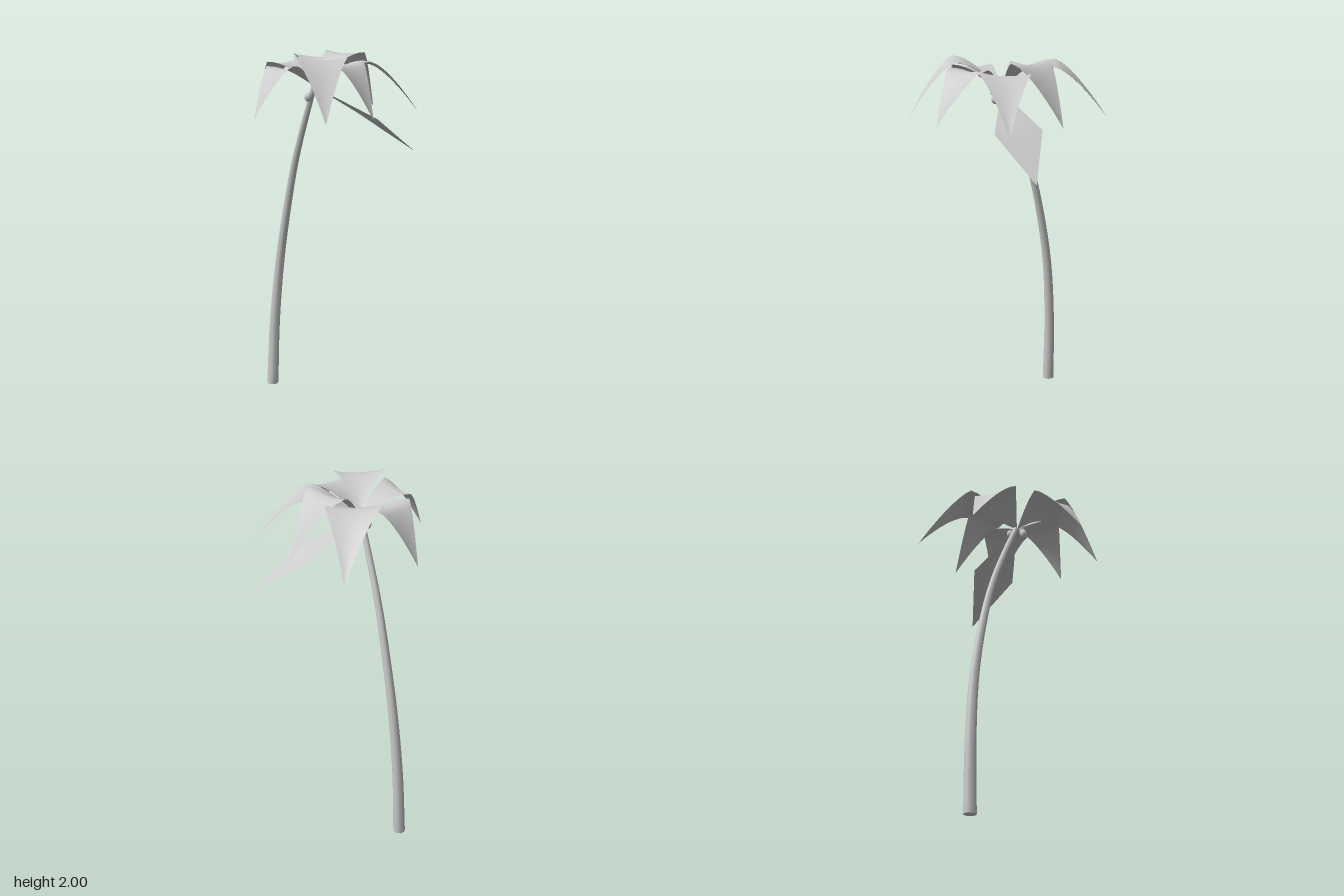
import * as THREE from 'three';

const material = new THREE.MeshStandardMaterial({ color: 0xcccccc });
const leafMaterial = new THREE.MeshStandardMaterial({ color: 0xcccccc, side: THREE.DoubleSide });
const V = (x, y, z) => new THREE.Vector3(x, y, z);
const ROOT = V(0, 1.82, 0.06);

// Kite-shaped frond: straight outline in plan, arched in height, sagging a little along its spine.
function frondGeometry(cornerA, cornerB, tip, arched) {
  const rows = 16, cols = 6, half = rows / 2;
  const positions = [], indices = [];
  const edge = (corner, r) => {
    const outer = r > half;
    const s = outer ? (r - half) / half : r / half;
    const p = outer ? corner.clone().lerp(tip, s) : ROOT.clone().lerp(corner, s);
    if (arched) {
      p.y = outer
        ? corner.y - (corner.y - tip.y) * s ** 1.4
        : ROOT.y + (corner.y - ROOT.y) * Math.sin(s * Math.PI / 2);
    }
    return p;
  };
  for (let r = 0; r <= rows; r++) {
    const a = edge(cornerA, r), b = edge(cornerB, r);
    const sag = arched ? 0.015 * Math.sin(Math.PI * r / rows) : 0;
    for (let c = 0; c <= cols; c++) {
      const p = a.clone().lerp(b, c / cols);
      p.y -= sag * Math.sin(Math.PI * c / cols);
      positions.push(p.x, p.y, p.z);
    }
  }
  for (let r = 0; r < rows; r++) {
    for (let c = 0; c < cols; c++) {
      const i = r * (cols + 1) + c, j = i + cols + 1;
      if (r > 0) indices.push(i, i + 1, j + 1);
      if (r < rows - 1) indices.push(i, j + 1, j);
    }
    // The root and tip rows are single points, so their cells are one triangle each.
  }
  const geometry = new THREE.BufferGeometry();
  geometry.setAttribute('position', new THREE.Float32BufferAttribute(positions, 3));
  geometry.setIndex(indices);
  geometry.computeVertexNormals();
  return geometry;
}

// Tapered trunk: a cylinder bent along a curve.
function trunkGeometry() {
  const path = new THREE.CatmullRomCurve3([
    V(-0.385, 0, 0.1), V(-0.375, 0.4, 0.085), V(-0.335, 0.8, 0.068), V(-0.25, 1.2, 0.058),
    V(-0.19, 1.4, 0.057), V(-0.11, 1.6, 0.058), V(-0.01, 1.82, 0.06),
  ]);
  const geometry = new THREE.CylinderGeometry(0.015, 0.034, 1, 10, 24);
  const pos = geometry.attributes.position;
  const up = V(0, 1, 0), turn = new THREE.Quaternion();
  for (let i = 0; i < pos.count; i++) {
    const t = THREE.MathUtils.clamp(pos.getY(i) + 0.5, 0, 1);
    turn.setFromUnitVectors(up, t < 0.01 ? up : path.getTangentAt(t));
    const p = V(pos.getX(i), 0, pos.getZ(i)).applyQuaternion(turn).add(path.getPointAt(t));
    pos.setXYZ(i, p.x, p.y, p.z);
  }
  geometry.computeVertexNormals();
  return geometry;
}

export function createModel() {
  const palm = new THREE.Group();
  palm.name = 'palmTree';
  const add = (name, geometry, mat = material) => {
    const mesh = new THREE.Mesh(geometry, mat);
    mesh.name = name;
    palm.add(mesh);
    return mesh;
  };

  add('trunk', trunkGeometry());

  // Fronds: two side corners, then the tip
  const fronds = {
    backFrond: [V(-0.17, 2, -0.15), V(0.11, 2, -0.19), V(-0.06, 1.68, -0.4)],
    backLeftFrond: [V(0.045, 1.95, -0.265), V(0.27, 1.96, -0.105), V(0.297, 1.68, -0.42)],
    leftFrond: [V(0.21, 1.965, -0.1), V(0.28, 1.96, 0.15), V(0.443, 1.68, 0.02)],
    frontLeftFrond: [V(0.29, 1.99, 0.07), V(0.15, 2, 0.31), V(0.433, 1.68, 0.317)],
    frontFrond: [V(0.15, 1.95, 0.31), V(-0.105, 1.935, 0.3), V(0.067, 1.68, 0.5)],
    rightFrond: [V(-0.195, 1.95, 0.235), V(-0.28, 1.95, -0.01), V(-0.435, 1.68, 0.133)],
    backRightFrond: [V(-0.31, 1.98, -0.015), V(-0.135, 1.97, -0.23), V(-0.447, 1.68, -0.305)],
    fallenFrond: [V(-0.035, 1.655, -0.26), V(0.225, 1.65, -0.19), V(0.19, 1.44, -0.5)],
  };
  for (const [name, [a, b, tip]] of Object.entries(fronds)) {
    add(name, frondGeometry(a, b, tip, name !== 'fallenFrond'), leafMaterial);
  }

  // Coconuts below the crown
  for (const p of [V(0.005, 1.77, 0.11), V(0.05, 1.825, 0.06), V(-0.015, 1.8, 0.02)]) {
    const nut = add('coconut', new THREE.SphereGeometry(0.021, 12, 8));
    nut.position.copy(p);
    nut.scale.y = 1.2;
  }
  return palm;
}
